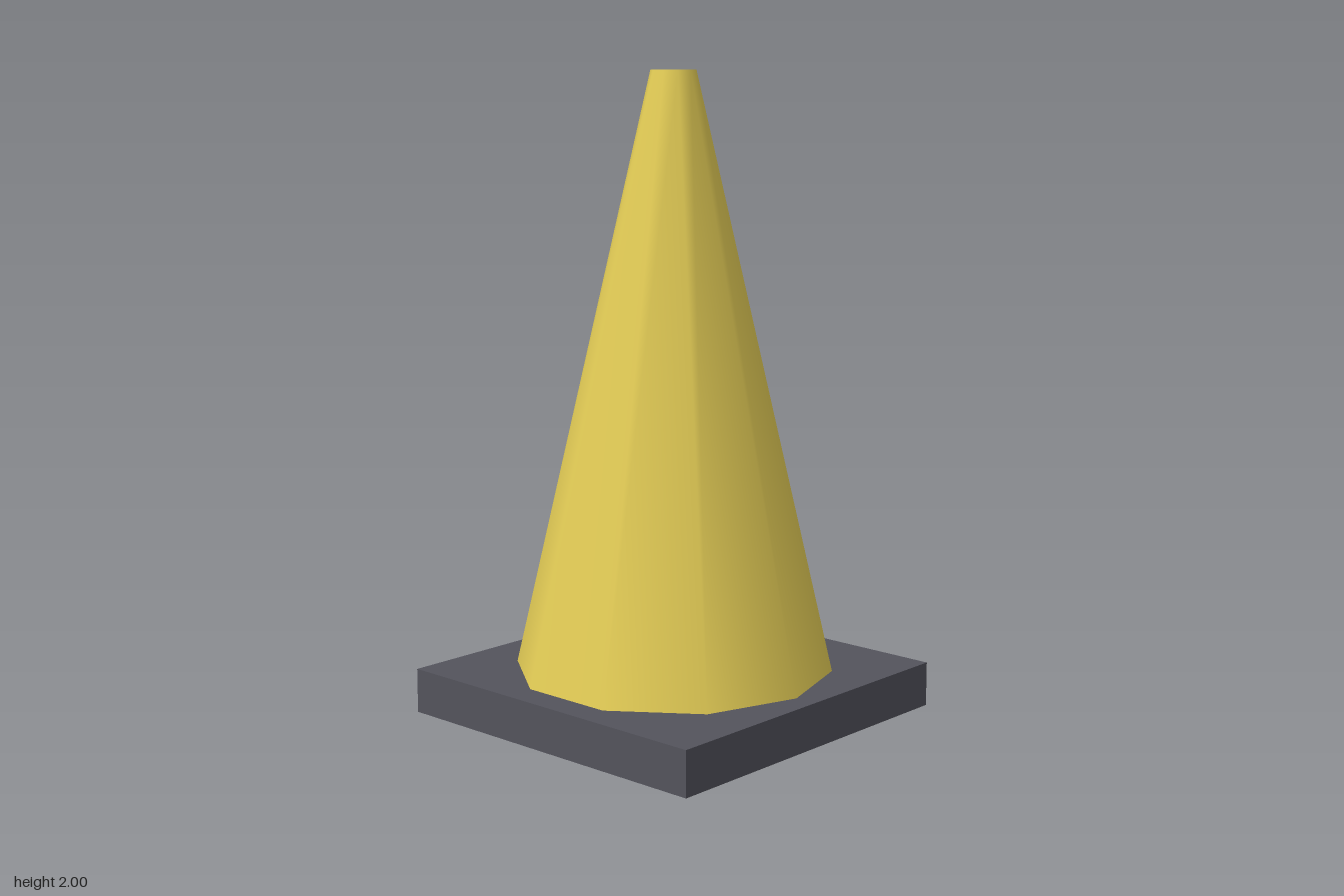
import * as THREE from 'three';

export function createModel() {
  const model = new THREE.Group();
  model.name = 'trafficCone';

  const yellow = new THREE.MeshStandardMaterial({ color: 0xe4cd56 });
  yellow.name = 'yellow';
  const darkGrey = new THREE.MeshStandardMaterial({ color: 0x53535c });
  darkGrey.name = 'dark grey';

  const baseHeight = 0.14;
  const coneHeight = 2 - baseHeight;

  // Square foot plate
  const base = new THREE.Mesh(new THREE.BoxGeometry(1.14, baseHeight, 1.14), darkGrey);
  base.name = 'base';
  base.position.y = baseHeight / 2;
  model.add(base);

  // Ten-sided tapered body with smooth sides and a flat tip, corners on the x axis
  const cone = new THREE.Mesh(
    new THREE.CylinderGeometry(0.07, 0.5, coneHeight, 10, 1, false, Math.PI / 2),
    yellow
  );
  cone.name = 'cone';
  cone.position.y = baseHeight + coneHeight / 2;
  model.add(cone);

  return model;
}
